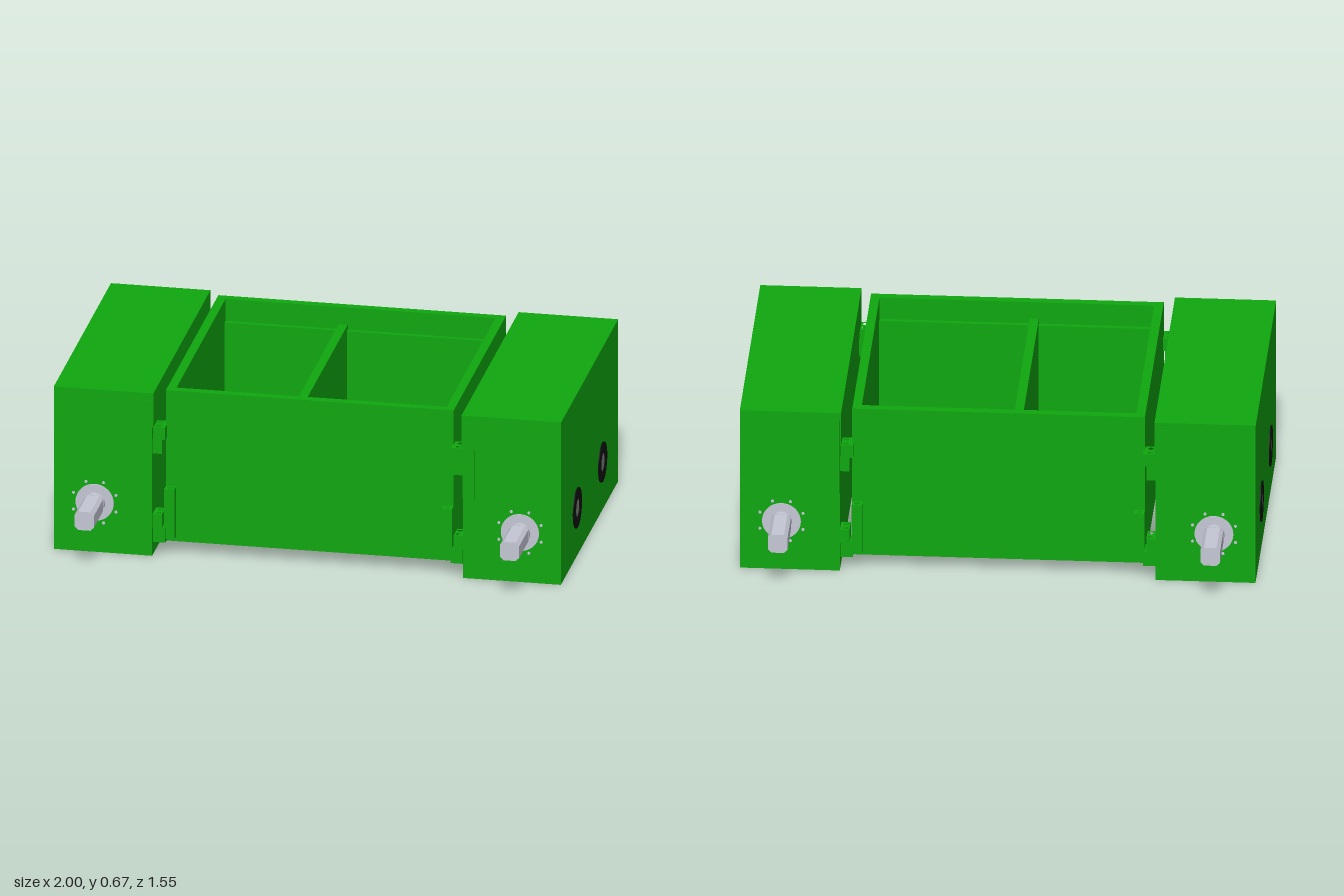
import * as THREE from 'three';

const paint = (color) => new THREE.MeshStandardMaterial({ color });

export function createModel() {
  const model = new THREE.Group();
  const green = paint(0x0fa80f), steel = paint(0xc6c8d6), black = paint(0x111111), grey = paint(0x808080);

  const add = (name, geometry, material, parent = model) => {
    const mesh = new THREE.Mesh(geometry, material);
    mesh.name = name;
    parent.add(mesh);
    return mesh;
  };
  // Box given by its limits on each axis (limits may come in either order)
  const box = (name, x0, x1, y0, y1, z0, z1, parent) => {
    const m = add(name, new THREE.BoxGeometry(Math.abs(x1 - x0), y1 - y0, Math.abs(z1 - z0)), green, parent);
    m.position.set((x0 + x1) / 2, (y0 + y1) / 2, (z0 + z1) / 2);
    return m;
  };
  // Horizontal plate: outline and round holes in x, z
  const plate = (name, outline, holes, r, y0, y1, parent) => {
    const shape = new THREE.Shape(outline.map(([x, z]) => new THREE.Vector2(x, -z)));
    for (const [x, z] of holes) {
      const hole = new THREE.Path();
      hole.absarc(x, -z, r, 0, Math.PI * 2, true);
      shape.holes.push(hole);
    }
    const g = new THREE.ExtrudeGeometry(shape, { depth: y1 - y0, bevelEnabled: false, curveSegments: 8 });
    g.rotateX(-Math.PI / 2).translate(0, y0, 0);
    return add(name, g, green, parent);
  };
  const rect = (x0, x1, z0, z1) => [[x0, z0], [x1, z0], [x1, z1], [x0, z1]];

  // Centre tray: floor, walls, divider
  const tray = new THREE.Group();
  tray.name = 'centreTray';
  model.add(tray);
  box('trayFloor', -0.565, 0.565, 0.05, 0.085, -0.52, 0.52, tray);
  for (const s of [-1, 1]) {
    box('traySideWall', s * 0.53, s * 0.565, 0.085, 0.67, -0.52, 0.52, tray);
    box('trayEndWall', -0.53, 0.53, 0.085, 0.67, s * 0.485, s * 0.52, tray);
    box('endWallLiner', -0.05, 0.53, 0.085, 0.58, s * 0.465, s * 0.485, tray);
    box('endWallLiner', -0.53, -0.085, 0.085, 0.58, s * 0.465, s * 0.485, tray);
  }
  box('divider', -0.085, -0.05, 0.085, 0.6, -0.485, 0.485, tray);

  // Crossed floor ribs in the smaller compartment
  box('middleRib', -0.53, -0.085, 0.085, 0.105, -0.03, 0.03, tray);
  for (const sx of [-1, 1]) for (const sz of [-1, 1]) {
    const px = (d) => -0.308 + sx * d;
    plate('diagonalRib', [[px(0.222), sz * 0.465], [px(0.152), sz * 0.465], [px(0), sz * 0.08],
      [px(0), sz * 0.03], [px(0.04), sz * 0.03]], [], 0, 0.085, 0.105, tray);
  }

  // Rounded square shaft section
  const section = new THREE.Shape();
  const h = 0.038, c = 0.024;
  [[h, -c], [h, c], [c, h], [-c, h], [-h, c], [-h, -c], [-c, -h], [c, -h]]
    .forEach(([x, y], i) => (i ? section.lineTo(x, y) : section.moveTo(x, y)));
  section.closePath();
  const shaftGeo = new THREE.ExtrudeGeometry(section, { depth: 0.18, bevelEnabled: false });

  for (const sx of [-1, 1]) {
    // Closed side housing: drilled base, body and lid
    const side = new THREE.Group();
    side.name = sx > 0 ? 'leftHousing' : 'rightHousing';
    model.add(side);
    const screws = [];
    for (const x of [0.725, 0.945]) for (const z of [-0.53, -0.38, 0.38, 0.53]) screws.push([sx * x, z]);
    plate('housingBase', rect(sx * 0.61, sx * 0.995, -0.565, 0.565), screws, 0.011, 0, 0.02, side);
    box('housingBody', sx * 0.61, sx * 0.995, 0.02, 0.53, -0.565, 0.565, side);
    box('housingLid', sx * 0.605, sx * 0.996, 0.53, 0.67, -0.566, 0.566, side);

    for (const sz of [-1, 1]) {
      // Bearing port on the outer face
      const ring = add('portRing', new THREE.LatheGeometry(
        [[0.037, -0.002], [0.037, 0.005], [0.08, 0.005], [0.08, -0.002]].reverse()
          .map(([r, y]) => new THREE.Vector2(r, y)), 40), black, side);
      ring.material.side = THREE.DoubleSide;
      ring.rotation.z = -sx * Math.PI / 2;
      ring.position.set(sx * 0.995, 0.2, sz * 0.25);
      const core = add('portCore', new THREE.CylinderGeometry(0.037, 0.037, 0.004, 32), grey, side);
      core.rotation.z = Math.PI / 2;
      core.position.set(sx * 0.995, 0.2, sz * 0.25);

      // Drive shaft with flange and a circle of screws
      const drive = new THREE.Group();
      drive.name = 'driveShaft';
      drive.position.set(sx * 0.835, 0.205, sz * 0.565);
      drive.rotation.y = sz > 0 ? 0 : Math.PI;
      side.add(drive);
      const disc = (name, r, depth, x, y, n) => {
        const m = add(name, new THREE.CylinderGeometry(r, r, depth, n).rotateX(Math.PI / 2), steel, drive);
        m.position.set(x, y, depth / 2);
      };
      disc('flange', 0.075, 0.005, 0, 0, 40);
      disc('shaftCollar', 0.041, 0.03, 0, 0, 32);
      for (let i = 0; i < 8; i++) {
        const a = (i + 0.5) * Math.PI / 4;
        disc('flangeScrew', 0.006, 0.003, 0.09 * Math.cos(a), 0.09 * Math.sin(a), 10);
      }
      add('shaftEnd', shaftGeo, steel, drive).position.z = 0.03;

      // Cover strip beside the latch
      box('coverStrip', sx * 0.61, sx * 0.655, 0.33, 0.64, sz * 0.56, sz * 0.569, side);

      // Latch: tray bracket plus drilled tabs joining tray and housing
      const latch = new THREE.Group();
      latch.name = 'latch';
      model.add(latch);
      const holes = [[sx * 0.588, sz * 0.505], [sx * 0.588, sz * 0.54]];
      plate('trayBracket', rect(sx * 0.525, sx * 0.565, sz * 0.515, sz * 0.555),
        [[sx * 0.545, sz * 0.538]], 0.009, 0.07, 0.275, latch);
      const tab = (name, x0, x1, y0, y1) =>
        plate(name, rect(sx * x0, sx * x1, sz * 0.485, sz * 0.558), holes, 0.01, y0, y1, latch);
      tab('lowerTrayTab', 0.56, 0.608, 0.055, 0.115);
      tab('lowerHousingTab', 0.573, 0.612, 0.115, 0.17);
      tab('upperHousingTab', 0.573, 0.612, 0.42, 0.478);
      tab('upperTrayTab', 0.56, 0.608, 0.478, 0.53);
    }
  }
  return model;
}
